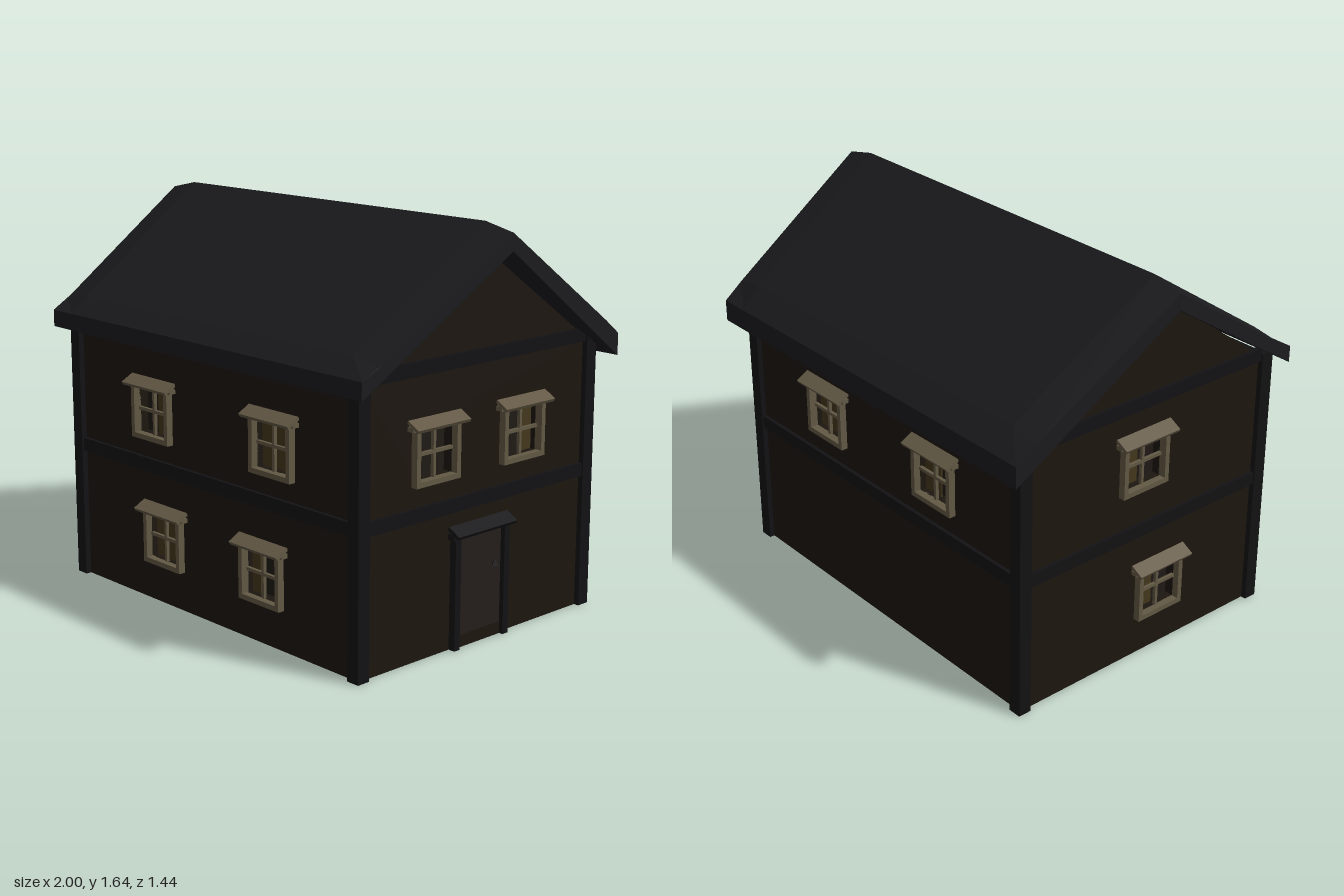
import * as THREE from 'three';

const mat = (color) => new THREE.MeshStandardMaterial({ color, flatShading: true });
const M = {
  roof: mat(0x1b1b1e), wall: mat(0x1d1610), timber: mat(0x121214), frame: mat(0x625844),
  curtain: mat(0x44371c), glass: mat(0x1f1a16), door: mat(0x241e1b), floor: mat(0x0e0d0c),
};

function add(parent, name, geometry, material, x = 0, y = 0, z = 0) {
  const mesh = new THREE.Mesh(geometry, material);
  mesh.name = name;
  mesh.position.set(x, y, z);
  parent.add(mesh);
  return mesh;
}

const box = (parent, name, material, w, h, d, x, y, z) =>
  add(parent, name, new THREE.BoxGeometry(w, h, d), material, x, y, z);

// Rectangle outline used for wall openings
function rectPath(x0, y0, x1, y1) {
  return new THREE.Path([[x0, y0], [x0, y1], [x1, y1], [x1, y0]].map((p) => new THREE.Vector2(...p)));
}

// Thin board sloping down and outward above an opening
function hood(parent, name, material, w, y) {
  box(parent, name, material, w, 0.014, 0.062, 0, y, 0.027).rotation.x = 0.5;
}

const W = 0.235, H = 0.235, B = 0.021; // window frame width, height and bar width

// Four-pane window; x is its centre, y its lower edge, a..b the curtained share
function makeWindow(wall, { x, y, a, b }) {
  const g = new THREE.Group();
  g.name = 'window';
  g.position.set(x, y, 0);
  wall.add(g);
  for (const s of [-1, 1]) box(g, 'windowStile', M.frame, B, H, 0.034, s * (W - B) / 2, H / 2, 0.012);
  box(g, 'windowSill', M.frame, W, B, 0.034, 0, B / 2, 0.012);
  box(g, 'windowHeader', M.frame, W + 0.045, 0.018, 0.034, 0, H - 0.009, 0.013);
  const iw = W - 2 * B, mid = (B + H - 0.018) / 2;
  box(g, 'verticalBar', M.frame, 0.013, H - 0.03, 0.014, 0, H / 2, -0.002);
  box(g, 'horizontalBar', M.frame, iw, 0.013, 0.014, 0, mid, -0.002);
  hood(g, 'windowHood', M.frame, W + 0.045, H + 0.003);
  box(g, 'windowGlass', M.glass, W, H, 0.006, 0, H / 2, -0.044);
  box(g, 'curtain', M.curtain, iw * (b - a), H - 0.03, 0.006, iw * ((a + b) / 2 - 0.5), H / 2, -0.03);
}

// Framed door with a small knob and sloping hood
function makeDoor(wall) {
  const g = new THREE.Group();
  g.name = 'door';
  wall.add(g);
  box(g, 'doorPanel', M.door, 0.25, 0.4, 0.012, 0, 0.25, 0.004);
  box(g, 'doorStep', M.wall, 0.25, 0.05, 0.014, 0, 0.025, 0.005);
  for (const s of [-1, 1]) box(g, 'doorPost', M.timber, 0.03, 0.46, 0.04, s * 0.138, 0.23, 0.01);
  box(g, 'doorHeader', M.timber, 0.33, 0.025, 0.04, 0, 0.457, 0.01);
  hood(g, 'doorHood', M.timber, 0.33, 0.475);
  add(g, 'doorKnob', new THREE.ConeGeometry(0.018, 0.03, 4), M.timber, 0.08, 0.31, 0.022);
}

// One wall, built facing +z and then turned; gabled walls rise to the ridge
function makeWall({ name, angle, dist, half, gable, windows, door }) {
  const g = new THREE.Group();
  g.name = name;
  const outline = [[-half, 0], [half, 0], [half, 1.12]];
  if (gable) outline.push([0, 1.565]);
  outline.push([-half, 1.12]);
  const shape = new THREE.Shape(outline.map((p) => new THREE.Vector2(...p)));
  for (const { x, y } of windows) {
    shape.holes.push(rectPath(x - W / 2 + B, y + B, x + W / 2 - B, y + H - 0.018));
  }
  const geo = new THREE.ExtrudeGeometry(shape, { depth: 0.04, bevelEnabled: false });
  geo.translate(0, 0, -0.04);
  add(g, 'wallPanel', geo, M.wall);
  for (const y of [0.58, 1.137]) {
    if (y < 1 || gable) box(g, 'beam', M.timber, 2 * half - 0.04, 0.055, 0.024, 0, y, 0.004);
  }
  if (!gable) box(g, 'topBeam', M.timber, 2 * half - 0.04, 0.045, 0.024, 0, 1.1, 0.004);
  windows.forEach((w) => makeWindow(g, w));
  if (door) makeDoor(g);
  g.position.set(Math.sin(angle) * dist, 0, Math.cos(angle) * dist + 0.005);
  g.rotation.y = angle;
  return g;
}

// Roof slab: cross-sections along x, drooping and flaring at the gable ends
function makeRoof() {
  // [z, y, droop at the ends]
  const ring = [
    [0.718, 1.087, 0], [0.718, 1.157, 0], [0.64, 1.22, 0.022], [0, 1.643, 0.03],
    [-0.63, 1.22, 0.022], [-0.718, 1.135, 0], [-0.718, 1.045, 0], [0, 1.545, 0],
  ];
  const n = ring.length, pos = [], idx = [];
  for (const s of [-1, -0.86, 0.86, 1]) {
    for (const [z, y, droop] of ring) {
      const end = 1 - 0.09 * Math.abs(z);
      const skew = z > 0.6 ? 0.017 : 0;
      pos.push(s * end + skew, y - (Math.abs(s) === 1 ? droop : 0), z);
    }
  }
  for (let i = 0; i < 3; i++) {
    for (let j = 0; j < n; j++) {
      const a = i * n + j, b = i * n + (j + 1) % n;
      idx.push(a, a + n, b, b, a + n, b + n);
    }
  }
  // End caps: fan around the underside apex
  for (let j = 0; j < n - 2; j++) {
    const e = 3 * n;
    idx.push(n - 1, j, j + 1, e + n - 1, e + j + 1, e + j);
  }
  const geo = new THREE.BufferGeometry();
  geo.setAttribute('position', new THREE.Float32BufferAttribute(pos, 3));
  geo.setIndex(idx);
  const flat = geo.toNonIndexed();
  flat.computeVertexNormals();
  const mesh = new THREE.Mesh(flat, M.roof.clone());
  mesh.material.side = THREE.DoubleSide;
  mesh.name = 'roof';
  return mesh;
}

export function createModel() {
  const house = new THREE.Group();
  house.name = 'house';
  const walls = [
    { name: 'frontWall', angle: 0, dist: 0.632, half: 0.845, windows: [
      { x: -0.342, y: 0.687, a: 0.45, b: 1 }, { x: 0.395, y: 0.687, a: 0, b: 1 },
      { x: -0.28, y: 0.165, a: 0, b: 1 }, { x: 0.328, y: 0.165, a: 0, b: 0.25 }] },
    { name: 'doorEndWall', angle: Math.PI / 2, dist: 0.858, half: 0.62, gable: true, door: true, windows: [
      { x: -0.25, y: 0.69, a: 0, b: 0.25 }, { x: 0.23, y: 0.69, a: 0.72, b: 1 }] },
    { name: 'backWall', angle: Math.PI, dist: 0.632, half: 0.845, windows: [
      { x: -0.338, y: 0.695, a: 0, b: 1 }, { x: 0.36, y: 0.695, a: 0, b: 0.5 }] },
    { name: 'farEndWall', angle: -Math.PI / 2, dist: 0.858, half: 0.62, gable: true, windows: [
      { x: -0.025, y: 0.76, a: 0, b: 0.5 }, { x: 0.08, y: 0.165, a: 0, b: 0.5 }] },
  ];
  walls.forEach((w) => house.add(makeWall(w)));

  // Corner posts and floor
  for (const sx of [-1, 1]) {
    for (const sz of [-1, 1]) {
      box(house, 'cornerPost', M.timber, 0.057, 1.14, 0.057, sx * 0.852, 0.57, sz * 0.627 + 0.006);
    }
  }
  box(house, 'floor', M.floor, 1.7, 0.012, 1.25, 0, 0.008, 0.005);
  house.add(makeRoof());
  return house;
}
